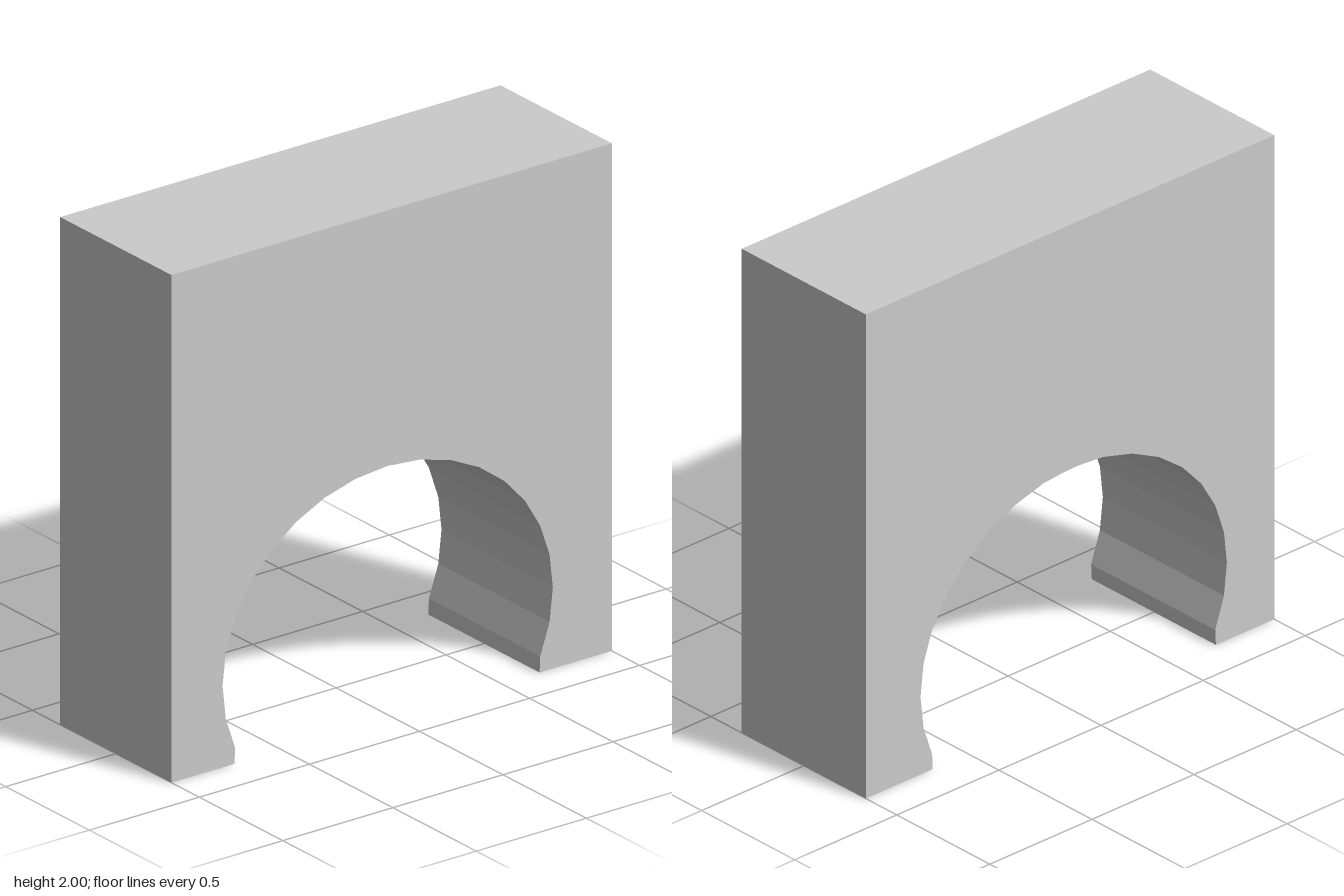
import * as THREE from 'three';

export function createModel() {
  const group = new THREE.Group();
  const material = new THREE.MeshStandardMaterial({ color: 0xcccccc, flatShading: true });

  // Faceted elliptical opening, slightly off centre, closing in towards the feet
  const centreX = -0.018, centreY = 0.32, radiusX = 0.75, radiusY = 0.673;
  const step = Math.PI / 16;
  const arch = [];
  for (let i = -2; i <= 18; i++) {
    const a = i * step;
    arch.push(new THREE.Vector2(centreX + radiusX * Math.cos(a), centreY + radiusY * Math.sin(a)));
  }

  // Square wall outline with the opening cut up from the ground
  const outline = new THREE.Shape([
    new THREE.Vector2(-1, 0),
    new THREE.Vector2(-0.714, 0),
    ...arch.reverse(),
    new THREE.Vector2(0.672, 0),
    new THREE.Vector2(1, 0),
    new THREE.Vector2(1, 2),
    new THREE.Vector2(-1, 2),
  ]);

  // Wall thickness, centred on z
  const depth = 0.667;
  const geometry = new THREE.ExtrudeGeometry(outline, { depth, bevelEnabled: false });
  geometry.translate(0, 0, -depth / 2);

  const wall = new THREE.Mesh(geometry, material);
  wall.name = 'archedWall';
  group.add(wall);
  return group;
}
